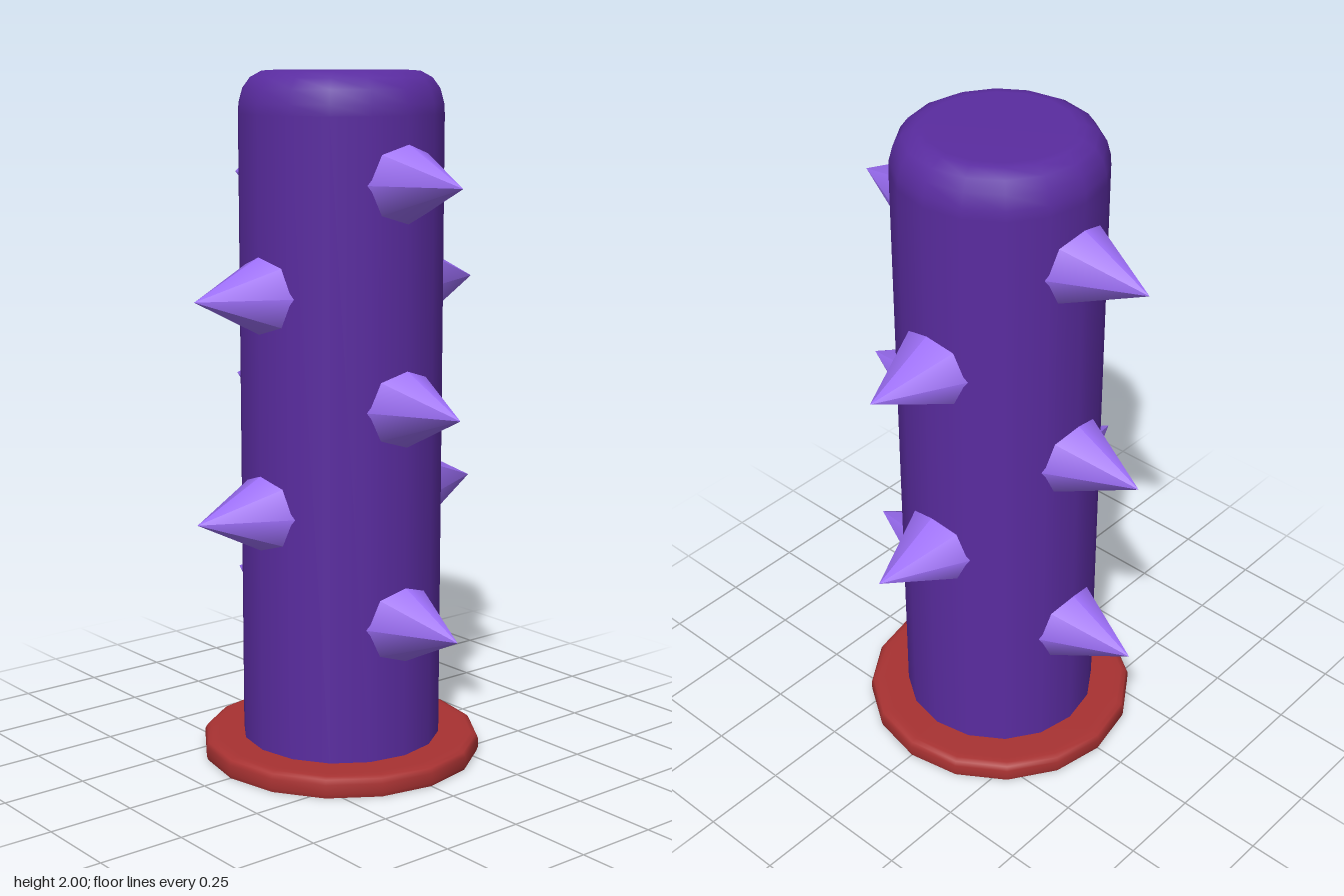
import * as THREE from 'three';

const SIDES = 16;
const material = (color) => new THREE.MeshStandardMaterial({ color });

function lathe(name, points, mat) {
  const profile = points.map(([r, y]) => new THREE.Vector2(r, y));
  const mesh = new THREE.Mesh(new THREE.LatheGeometry(profile, SIDES), mat);
  mesh.name = name;
  return mesh;
}

export function createModel() {
  const model = new THREE.Group();
  model.name = 'spikedPillar';
  const purple = material(0x5a2ca0);
  const lilac = material(0x9d6ff8);
  const red = material(0xa83232);

  // Pillar with a rounded upper rim and a flat top
  model.add(lathe('pillar', [
    [0.293, 0.01], [0.293, 1.88], [0.291, 1.91], [0.28, 1.95],
    [0.258, 1.98], [0.225, 1.998], [0.2, 2], [0, 2],
  ], purple));

  // Base ring with a softened top edge
  model.add(lathe('baseRing', [
    [0.408, 0], [0.412, 0.012], [0.412, 0.04], [0.405, 0.053],
    [0.39, 0.058], [0.37, 0.058], [0.28, 0.058],
  ], red));

  // Underside disc
  const underside = new THREE.Mesh(new THREE.CircleGeometry(0.408, SIDES), purple);
  underside.name = 'underside';
  underside.rotation.x = Math.PI / 2;
  model.add(underside);

  // Spikes: opposite pairs, alternating front/back and left/right up the pillar
  const tip = 0.51, root = 0.2;
  const spike = new THREE.ConeGeometry(0.154, tip - root, 8, 1, true);
  spike.rotateX(Math.PI / 2);
  spike.translate(0, 0, (tip + root) / 2);
  [0.45, 0.765, 1.073, 1.385, 1.695].forEach((y, row) => {
    for (let i = 0; i < 2; i++) {
      const mesh = new THREE.Mesh(spike, lilac);
      mesh.name = 'spike';
      mesh.position.y = y;
      mesh.rotation.y = (row % 2) * Math.PI / 2 + i * Math.PI;
      model.add(mesh);
    }
  });

  return model;
}
